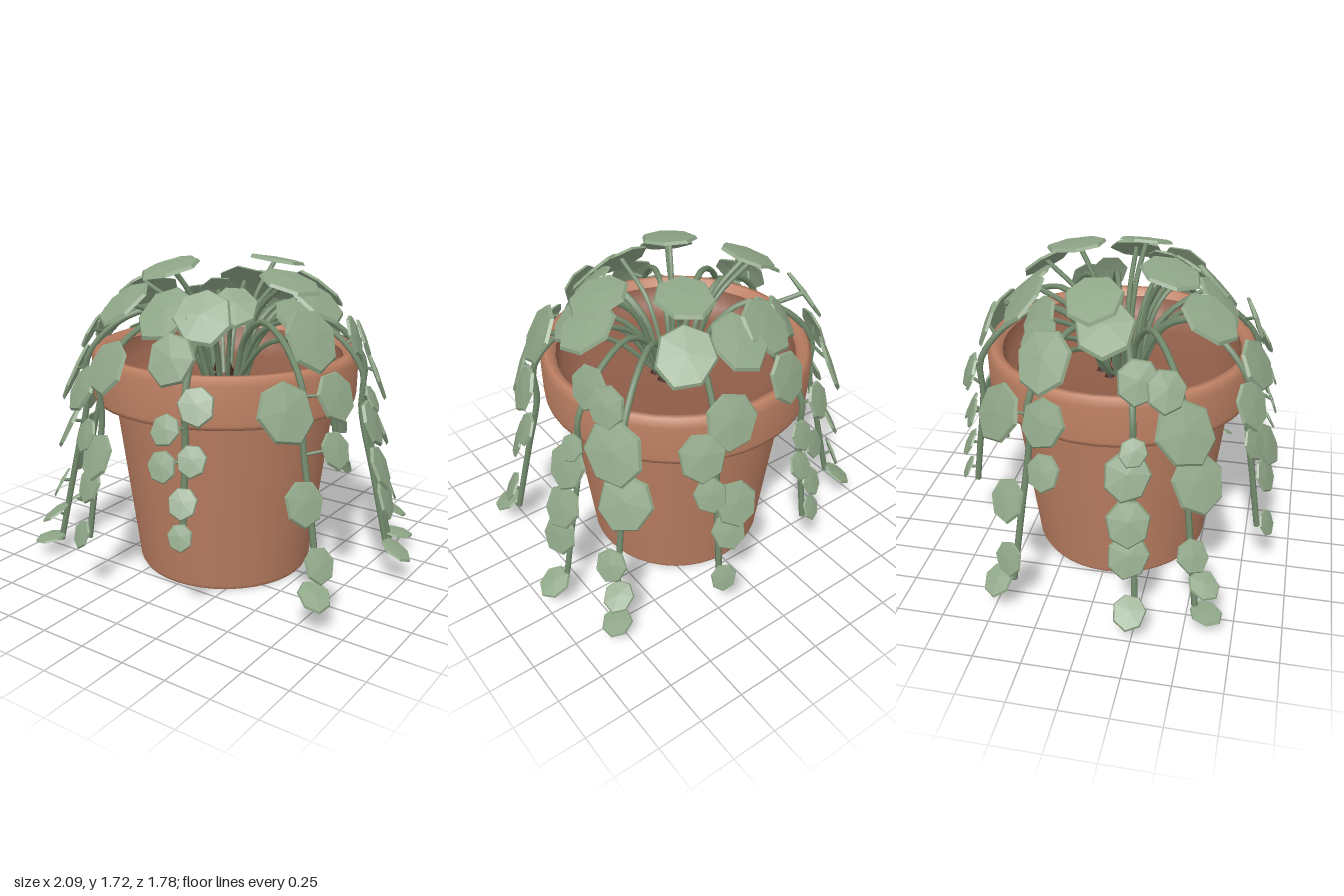
import * as THREE from 'three';

const std = (name, color) => Object.assign(new THREE.MeshStandardMaterial({ color }), { name });
const CX = -0.02, CZ = 0.015; // pot axis
// Point at an angle (degrees from +x towards +z), radius, height and sideways shift
const around = (deg, r, y, side = 0) => {
  const a = THREE.MathUtils.degToRad(deg), c = Math.cos(a), s = Math.sin(a);
  return new THREE.Vector3(CX + c * r - s * side, y, CZ + s * r + c * side);
};

export function createModel() {
  const terracotta = std('terracotta', 0xbc7f62);
  const innerBrown = std('inner brown', 0x8f5d48);
  const rootBrown = std('root brown', 0x3c2219);
  const leafGreen = std('leaf green', 0x8ea587);
  const stemGreen = std('stem green', 0x728a6c);
  leafGreen.flatShading = true;

  const root = new THREE.Group();
  root.name = 'pottedTrailingPlant';
  const add = (parent, name, geo, mat) => {
    const m = new THREE.Mesh(geo, mat);
    m.name = name;
    parent.add(m);
    return m;
  };
  let seed = 7;
  const rand = () => (seed = (seed * 16807) % 2147483647) / 2147483647 - 0.5;

  // Pot: tapered body running smoothly into the thick rim, with a bowl of soil inside
  const pot = new THREE.Group();
  pot.name = 'pot';
  pot.position.set(CX, 0, CZ);
  root.add(pot);
  const lathe = (name, mat, ...pts) => add(pot, name,
    new THREE.LatheGeometry(pts.map(q => new THREE.Vector2(...q)), 40), mat);
  lathe('potBase', terracotta, [0, 0.005], [0.47, 0.005]);
  lathe('potBodyAndRim', terracotta, [0.47, 0.005], [0.484, 0.03], [0.602, 0.955], [0.606, 0.98],
    [0.715, 0.98], [0.718, 1.0], [0.722, 1.2], [0.695, 1.24], [0.665, 1.24], [0.64, 1.2]);
  lathe('soilBowl', innerBrown, [0.64, 1.2], [0.615, 1.1], [0.5, 1.06], [0.15, 1.04], [0, 1.04]);

  // Leaf: seven-sided, thin, slightly domed, with a drawn-out tip on +z
  const leafGeo = new THREE.CylinderGeometry(0.93, 1, 0.13, 7);
  const p = leafGeo.attributes.position;
  for (let i = 0; i < p.count; i++) {
    const x = p.getX(i), z = p.getZ(i);
    p.setXYZ(i, x * 1.02, p.getY(i) + 0.08 * (1 - Math.hypot(x, z)), z > 0.5 ? z * 1.25 : z);
  }
  leafGeo.computeVertexNormals();

  // Leaves lie flat at the crown, steepen as they hang, and lift again at the vine tips
  const tiltAt = y => y < 0.16 ? 12 : y < 0.28 ? 32 : Math.min(66, 12 + Math.max(0, 1.69 - y) * 165);

  function addLeaf(parent, at, size) {
    const r = size * 1.06;
    const out = new THREE.Vector3(at.x - CX, 0, at.z - CZ).normalize();
    const t = THREE.MathUtils.degToRad(tiltAt(at.y) + rand() * 10);
    const normal = out.clone().multiplyScalar(Math.sin(t)).setY(Math.cos(t));
    const tip = out.clone().multiplyScalar(Math.cos(t)).setY(-Math.sin(t));
    const leaf = add(parent, 'leaf', leafGeo, leafGreen);
    leaf.quaternion.setFromRotationMatrix(
      new THREE.Matrix4().makeBasis(normal.clone().cross(tip), normal, tip));
    leaf.rotateY(rand() * 0.9);
    leaf.position.copy(at);
    leaf.scale.set(r, Math.min(r, 0.12), r);
  }

  function addStem(parent, name, pts, radius) {
    const curve = new THREE.CatmullRomCurve3(pts);
    add(parent, name, new THREE.TubeGeometry(curve, pts.length * 4, radius, 6), stemGreen);
    return curve;
  }

  // Hanging vines: angle, height and radius of the tip, leaves as [height, sideways shift, size]
  const vines = [
    { angle: 111, endY: 0.32, endR: 0.86, leaves: [[1.25, -0.07, 0.125], [1.11, 0.09, 0.11],
      [0.87, 0.05, 0.08], [0.8, -0.08, 0.105], [0.64, -0.04, 0.085], [0.36, -0.01, 0.065]] },
    { angle: 70, endY: 0.4, endR: 0.83, leaves: [[1.33, 0.08, 0.115], [1.14, -0.07, 0.085],
      [1.01, 0.08, 0.07], [0.87, -0.05, 0.07], [0.83, 0.1, 0.07], [0.66, -0.01, 0.07], [0.49, 0, 0.06]] },
    { angle: 26, endY: 0.19, endR: 0.93, leaves: [[1.14, -0.15, 0.11], [1.1, 0.14, 0.135],
      [0.87, -0.15, 0.085], [0.65, 0.06, 0.1], [0.34, 0.01, 0.08], [0.2, 0.06, 0.08]] },
    { angle: -15, endY: 0.19, endR: 0.93, leaves: [[1.34, -0.03, 0.1], [1.3, -0.16, 0.095],
      [1.02, 0, 0.065], [0.9, 0.03, 0.11], [0.66, 0.03, 0.105], [0.49, 0.03, 0.1], [0.19, 0.03, 0.08]] },
    { angle: -34.5, endY: 0.08, endR: 0.95, leaves: [[1.1, 0.03, 0.145], [0.82, -0.04, 0.135],
      [0.44, 0.02, 0.08], [0.27, -0.03, 0.075], [0.11, -0.03, 0.075]] },
  ];
  // Each vine has a twin turned half way round the pot
  for (const turn of [0, 180]) {
    for (const { angle, endY, endR, leaves } of vines) {
      const dir = angle + turn;
      const vine = new THREE.Group();
      vine.name = 'hangingVine';
      root.add(vine);
      // The vine hangs straight beside the rim, then drifts outwards to its tip
      const hangR = y => y > 0.95 ? 0.76 - Math.max(0, y - 1.15) * 0.6
        : THREE.MathUtils.mapLinear(y, 0.95, endY, 0.76, endR);
      const hang = [1.15, 0.95, 0.6, endY].map(y => around(dir, hangR(y), y));
      const curve = addStem(vine, 'vineStem', [around(dir, 0.11, 1.05), around(dir, 0.2, 1.3),
        around(dir, 0.38, 1.43), around(dir, 0.6, 1.35), ...hang], 0.017);
      const samples = curve.getPoints(50);
      for (const [y, side, size] of leaves) {
        const at = around(dir, hangR(y) + 0.055, y, side);
        addLeaf(vine, at, size);
        // Short stalk joining the leaf to the vine
        const near = samples.reduce((a, b) => b.distanceTo(at) < a.distanceTo(at) ? b : a);
        addStem(vine, 'leafStalk', [near, at], 0.009);
      }
      const clump = add(vine, 'rootClump', new THREE.ConeGeometry(0.032, 0.08, 5), rootBrown);
      clump.position.copy(around(dir, 0.11, 1.08));
    }
  }

  // Crown: leaves on their own arching stalks
  const crown = new THREE.Group();
  crown.name = 'crown';
  root.add(crown);
  function addCrownLeaf(x, y, z, size) {
    const at = new THREE.Vector3(x, y, z);
    const r = Math.hypot(x - CX, z - CZ);
    const dir = THREE.MathUtils.radToDeg(Math.atan2(z - CZ, x - CX));
    addLeaf(crown, at, size);
    addStem(crown, 'crownStalk', [around(dir, 0.1, 1.05),
      around(dir, 0.06 + r * 0.4, 0.34 + y * 0.68), at], 0.014);
  }
  // Large leaves in opposite pairs
  for (const [x, y, z] of [[0.13, 1.68, -0.25], [0.52, 1.54, -0.01], [0.4, 1.63, 0.07],
    [0.27, 1.52, -0.47], [-0.02, 1.5, -0.49], [-0.21, 1.5, -0.46], [0.65, 1.41, 0.26]]) {
    addCrownLeaf(x, y, z, 0.14);
    addCrownLeaf(2 * CX - x, y, 2 * CZ - z, 0.14);
  }
  // Smaller single leaves
  for (const [x, y, z] of [[0.27, 1.54, 0.35], [-0.45, 1.4, -0.32], [-0.32, 1.45, -0.35],
    [0.51, 1.48, 0.17]]) addCrownLeaf(x, y, z, 0.11);
  return root;
}
